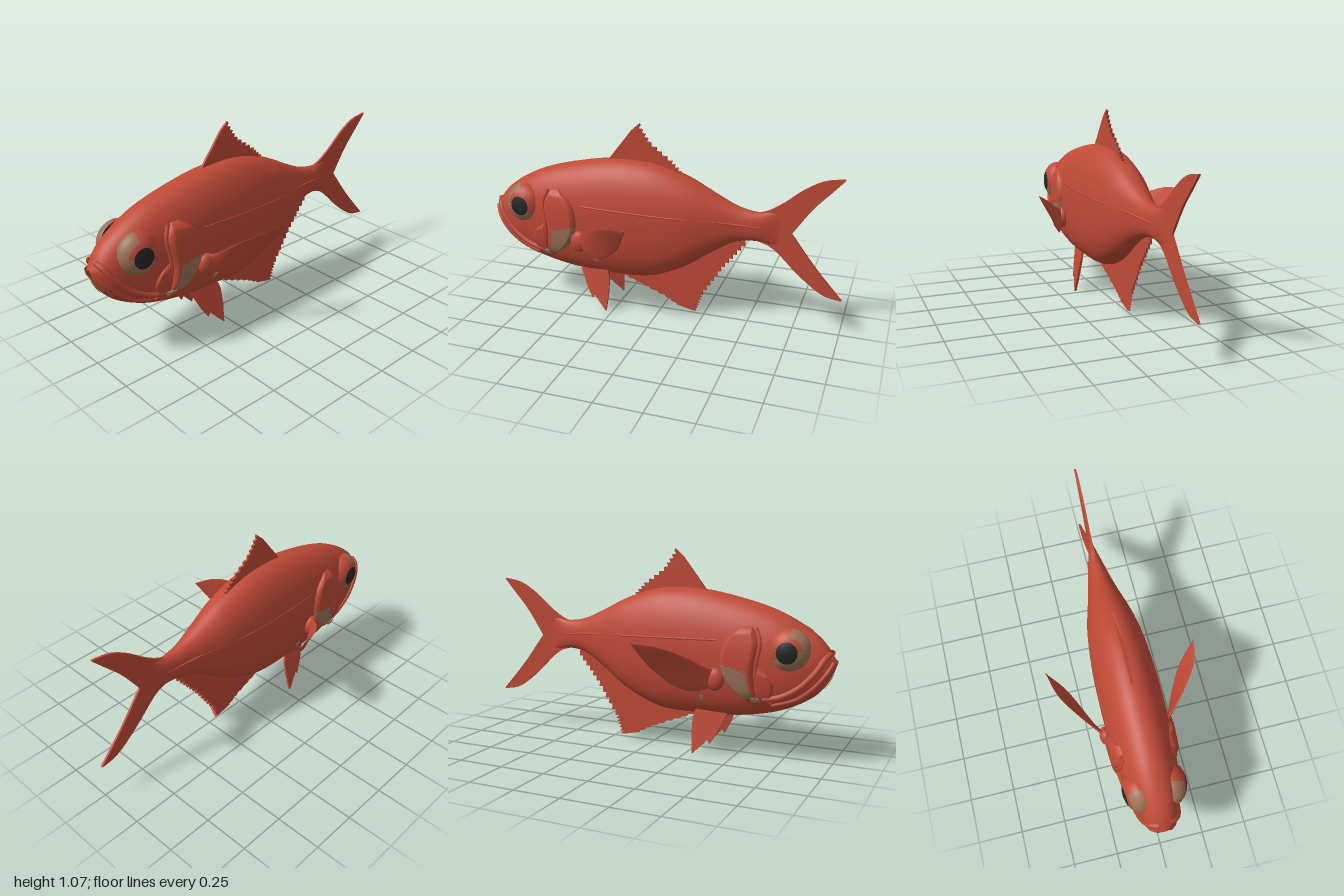
import * as THREE from 'three';
import { mergeVertices } from 'three/addons/utils/BufferGeometryUtils.js';

// Body cross-sections: z, top y, bottom y, half width
const SECTIONS = [
  [1.0, 0.53, 0.50, 0.02], [0.98, 0.56, 0.455, 0.05], [0.95, 0.605, 0.40, 0.075],
  [0.90, 0.655, 0.345, 0.10], [0.80, 0.72, 0.285, 0.13], [0.68, 0.775, 0.24, 0.15],
  [0.50, 0.825, 0.207, 0.163], [0.28, 0.863, 0.197, 0.167], [0.05, 0.86, 0.21, 0.16],
  [-0.15, 0.80, 0.295, 0.135], [-0.30, 0.725, 0.40, 0.095], [-0.42, 0.67, 0.47, 0.06],
  [-0.53, 0.648, 0.487, 0.04], [-0.62, 0.66, 0.475, 0.015], [-0.66, 0.67, 0.475, 0.004],
];

// Smooth interpolation of the sections at a given z
function sectionAt(z) {
  const S = SECTIONS, n = S.length;
  let i = 0;
  while (i < n - 2 && z < S[i + 1][0]) i++;
  const dz = S[i + 1][0] - S[i][0];
  const t = THREE.MathUtils.clamp((z - S[i][0]) / dz, 0, 1);
  const slope = (k, c) => {
    const a = S[Math.max(k - 1, 0)], b = S[Math.min(k + 1, n - 1)];
    return (b[c] - a[c]) / (b[0] - a[0]);
  };
  return [1, 2, 3].map((c) => {
    const t2 = t * t, t3 = t2 * t;
    return (2 * t3 - 3 * t2 + 1) * S[i][c] + (t3 - 2 * t2 + t) * dz * slope(i, c)
      + (3 * t2 - 2 * t3) * S[i + 1][c] + (t3 - t2) * dz * slope(i + 1, c);
  });
}

// Half width of the body at z, y: rounder above, fuller below
const power = (t) => (t > 0 ? 2.1 : 2.5);
function bodyX(z, y) {
  const [top, bot, w] = sectionAt(z);
  const t = THREE.MathUtils.clamp((2 * y - top - bot) / (top - bot), -1, 1);
  return w * Math.pow(1 - Math.pow(Math.abs(t), power(t)), 1 / power(t));
}

// Surface from fn(u, v); pick(u, v) chooses a material index for each cell
function gridGeo(fn, nu, nv, pick) {
  const pos = [], cells = [[], [], []];
  for (let j = 0; j <= nv; j++)
    for (let i = 0; i <= nu; i++) pos.push(...fn(i / nu, j / nv));
  for (let j = 0; j < nv; j++)
    for (let i = 0; i < nu; i++) {
      const a = j * (nu + 1) + i, b = a + 1, c = a + nu + 1, d = c + 1;
      cells[pick ? pick((i + 0.5) / nu, (j + 0.5) / nv) : 0].push(a, c, b, b, c, d);
    }
  let g = new THREE.BufferGeometry();
  g.setAttribute('position', new THREE.Float32BufferAttribute(pos, 3));
  g.setIndex(cells.flat());
  g = mergeVertices(g, 1e-5);
  if (pick) {
    let start = 0;
    cells.forEach((c, m) => { g.addGroup(start, c.length, m); start += c.length; });
  }
  g.computeVertexNormals();
  return g;
}

const spline = (pts) => new THREE.CatmullRomCurve3(pts.map((p) => new THREE.Vector3(...p)));
const sideSpline = (pts) => spline(pts.map(([z, y]) => [0, y, z]));

// Thin fin cut from a z, y outline
function finGeo(outline, depth) {
  const g = new THREE.ExtrudeGeometry(new THREE.Shape(outline.map((p) => new THREE.Vector2(...p))),
    { depth, bevelEnabled: false });
  g.rotateY(-Math.PI / 2);
  return g.translate(depth / 2, 0, 0);
}

// Saw-toothed edge through the given points
function teeth(points, perSpan, depth) {
  const out = [];
  for (let k = 0; k < points.length - 1; k++) {
    const [ax, ay] = points[k], [bx, by] = points[k + 1];
    const l = Math.hypot(bx - ax, by - ay), nx = (by - ay) / l, ny = -(bx - ax) / l;
    for (let i = 0; i < perSpan; i++) {
      const t = i / perSpan, q = (i + 0.35) / perSpan;
      out.push([ax + (bx - ax) * t, ay + (by - ay) * t]);
      out.push([ax + (bx - ax) * q + nx * depth, ay + (by - ay) * q + ny * depth]);
    }
  }
  out.push(points[points.length - 1]);
  return out;
}

export function createModel() {
  const model = new THREE.Group();
  model.name = 'fish';
  const mat = (name, color) => {
    const m = new THREE.MeshStandardMaterial({ color, side: THREE.DoubleSide });
    m.name = name;
    return m;
  };
  const red = mat('red skin', 0xbf4a36), tan = mat('tan', 0x9c7257), black = mat('pupil black', 0x262626);
  const add = (parent, name, geo, material) => {
    const m = new THREE.Mesh(geo, material);
    m.name = name;
    parent.add(m);
    return m;
  };

  // Body
  const spans = SECTIONS.length - 1;
  add(model, 'body', gridGeo((u, v) => {
    const i = Math.min(Math.floor(v * spans + 1e-9), spans - 1), f = v * spans - i;
    const z = SECTIONS[i][0] + (SECTIONS[i + 1][0] - SECTIONS[i][0]) * f;
    const [top, bot, w] = sectionAt(z), a = u * Math.PI * 2 - Math.PI / 2;
    const s = Math.sin(a), c = Math.cos(a), e = 2 / power(s);
    return [w * Math.sign(c) * Math.pow(Math.abs(c), e),
      (top + bot) / 2 + (top - bot) / 2 * Math.sign(s) * Math.pow(Math.abs(s), e), z];
  }, 56, spans * 6), red);

  // Tail fin, with smooth lobes and a sharp fork
  const lobe = (pts) => sideSpline(pts).getPoints(14).map((p) => [p.z, p.y]);
  add(model, 'tailFin', finGeo([
    ...lobe([[-0.5, 0.64], [-0.57, 0.655], [-0.66, 0.71], [-0.77, 0.80], [-0.87, 0.855], [-0.97, 0.873]]),
    ...lobe([[-0.965, 0.862], [-0.9, 0.79], [-0.82, 0.70], [-0.717, 0.55]]),
    ...lobe([[-0.72, 0.545], [-0.85, 0.375], [-1.0, 0.205]]),
    ...lobe([[-0.99, 0.203], [-0.9, 0.222], [-0.77, 0.315], [-0.61, 0.46], [-0.5, 0.495]]),
  ], 0.012), red);

  // Dorsal and anal fins
  add(model, 'dorsalFin', finGeo([[0.31, 0.85], [0.24, 0.94], [0.17, 1.03], [0.125, 1.07],
    ...teeth([[0.12, 1.06], [0.06, 0.97], [-0.06, 0.88], [-0.13, 0.81], [-0.25, 0.752]], 4, -0.018),
    [-0.2, 0.72], [0.05, 0.80]], 0.013), red);
  add(model, 'analFin', finGeo([[0.25, 0.22],
    ...teeth([[0.25, 0.19], [0.12, 0.14], [-0.02, 0.085], [-0.12, 0.03]], 3, -0.008),
    ...teeth([[-0.185, 0.015], [-0.22, 0.12], [-0.34, 0.31], [-0.47, 0.475]], 6, -0.02),
    [-0.4, 0.52], [-0.15, 0.36], [0.05, 0.25]], 0.012), red);

  // Stripe under the chin
  add(model, 'chinStripe', gridGeo((u, v) => {
    const z = 0.985 - 0.042 * v, x = (u - 0.5) * 0.03, [top, bot, w] = sectionAt(z);
    const k = Math.pow(1 - Math.pow(Math.abs(x) / w, 2.5), 0.4);
    return [x, (top + bot) / 2 - k * (top - bot) / 2 - 0.003, z + 0.004];
  }, 4, 10), tan);

  // Paired parts
  for (const side of [1, -1]) {
    const half = new THREE.Group();
    half.name = side > 0 ? 'leftSide' : 'rightSide';
    half.scale.x = side;
    model.add(half);

    // Raised patch following the body between two z, y edges
    const patch = (name, front, back, raise, material, pick) => {
      const f = sideSpline(front), b = sideSpline(back);
      add(half, name, gridGeo((u, v) => {
        const p = f.getPoint(v).lerp(b.getPoint(v), u);
        const edge = Math.min(1, 7 * Math.min(u, 1 - u, v, 1 - v));
        return [bodyX(p.z, p.y) - 0.004 + (raise + 0.004) * Math.sqrt(edge), p.y, p.z];
      }, 28, 36, pick), material);
    };
    // Raised ridge following the body
    const ridge = (name, pts, r, lift = 0) => add(half, name, new THREE.TubeGeometry(
      spline(pts.map(([z, y]) => [bodyX(z, y) + lift, y, z])), 40, r, 8), red);

    patch('gillCover', [[0.60, 0.70], [0.64, 0.62], [0.62, 0.46], [0.64, 0.30]],
      [[0.56, 0.70], [0.47, 0.63], [0.44, 0.51], [0.48, 0.40], [0.61, 0.29]], 0.024, [red, tan],
      (u, v) => (u > 0.22 && v > 0.68 - 0.17 * u && v < 0.93 ? 1 : 0));
    patch('cheekPlate', [[0.69, 0.46], [0.72, 0.40], [0.70, 0.32]],
      [[0.64, 0.50], [0.62, 0.40], [0.63, 0.31]], 0.012, red);
    patch('jawSpot', [[0.655, 0.335], [0.65, 0.31]], [[0.60, 0.34], [0.605, 0.31]], 0.026, tan);
    patch('bellySpot', [[0.35, 0.325], [0.35, 0.295]], [[0.325, 0.325], [0.325, 0.295]], 0.004, tan);
    ridge('cheekRidge', [[0.62, 0.69], [0.645, 0.62], [0.63, 0.50], [0.64, 0.38], [0.70, 0.30]], 0.011);
    ridge('upperLip', [[0.972, 0.568], [0.955, 0.545], [0.92, 0.485], [0.84, 0.40], [0.74, 0.345], [0.66, 0.33]], 0.016);
    ridge('lowerLip', [[0.99, 0.525], [0.965, 0.475], [0.91, 0.405], [0.82, 0.335], [0.70, 0.295]], 0.014, -0.003);
    ridge('lateralLine', [[0.42, 0.62], [0.2, 0.615], [-0.1, 0.605], [-0.35, 0.59], [-0.55, 0.57]], 0.006, -0.003);

    // Eye: polar grid around the outward axis
    const eye = add(half, 'eye', gridGeo((u, v) => {
      const th = v * 1.65, ph = u * Math.PI * 2;
      return [0.083 * Math.cos(th), 0.115 * Math.sin(th) * Math.sin(ph), 0.112 * Math.sin(th) * Math.cos(ph)];
    }, 48, 33, (u, v) => {
      const th = v * 1.65, deg = u > 0.5 ? u * 360 - 360 : u * 360;
      if (th < 0.5) return 2;
      if (deg > 80 || deg < -150) return 0;
      return deg > 5 && th < 0.75 ? 0 : 1;
    }), [red, tan, black]);
    eye.position.set(0.085, 0.58, 0.78);
    eye.rotation.y = -0.1;

    // Pectoral fin: a tapering blade lofted between its two edges
    const upper = spline([[0.17, 0.47, 0.42], [0.21, 0.485, 0.39], [0.29, 0.545, 0.31], [0.375, 0.60, 0.19], [0.41, 0.617, 0.06]]);
    const lower = spline([[0.17, 0.39, 0.42], [0.205, 0.36, 0.35], [0.245, 0.37, 0.26], [0.32, 0.475, 0.135], [0.41, 0.613, 0.06]]);
    add(half, 'pectoralFin', gridGeo((u, v) => {
      const a = u * Math.PI * 2, p = upper.getPoint(v).lerp(lower.getPoint(v), 0.5 - 0.5 * Math.cos(a));
      const t = 0.012 * Math.sin(a) * (1 - 0.8 * v);
      return [p.x + t * 0.7, p.y, p.z + t * 0.7];
    }, 24, 30), red);
    const root = add(half, 'pectoralRoot', new THREE.SphereGeometry(1, 24, 16), red);
    root.scale.set(0.032, 0.06, 0.05);
    root.position.set(0.172, 0.42, 0.42);

    // Pelvic fin, splayed outward
    const pelvic = finGeo([[0.46, 0.24], [0.45, 0.205], [0.41, 0.12], [0.375, 0.06], [0.362, 0.08],
      [0.32, 0.035], [0.285, 0], [0.275, 0.10], [0.275, 0.19], [0.29, 0.24]], 0.014);
    const p = pelvic.attributes.position;
    for (let i = 0; i < p.count; i++)
      p.setX(i, p.getX(i) + 0.09 + (0.2 - p.getY(i)) * 0.2 + (0.36 - p.getZ(i)) * 0.12);
    pelvic.computeVertexNormals();
    add(half, 'pelvicFin', pelvic, red);
  }
  return model;
}
